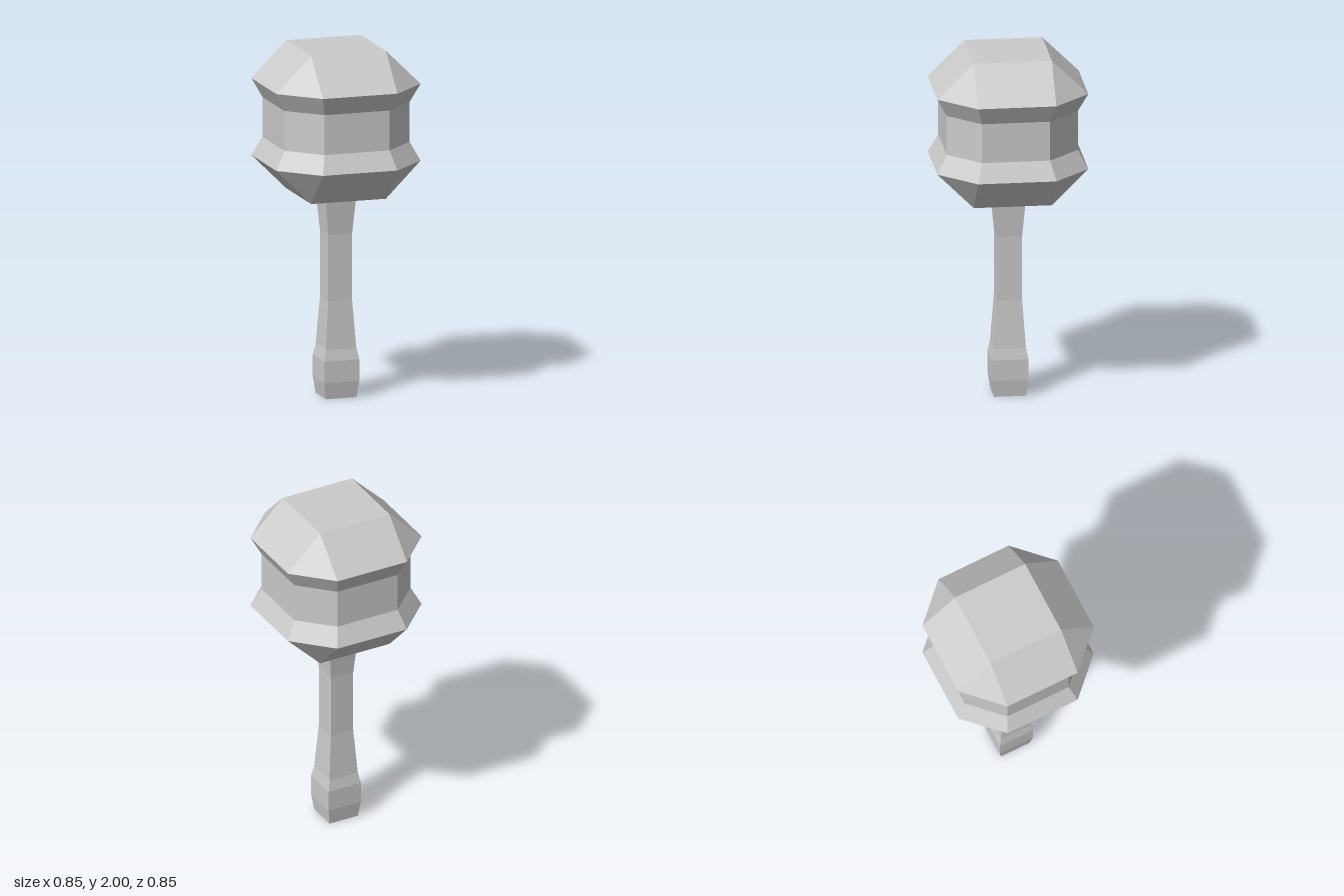
import * as THREE from 'three';

// Corners of a bevelled square, counter-clockwise seen from above.
// Half-width a, flat side half-length b (a === b gives a plain square).
function ring([y, a, b]) {
  const quarter = [[a, b], [b, a]];
  const points = [];
  for (let k = 0; k < 4; k++) {
    for (const [u, v] of quarter) {
      const [x, w] = [[u, v], [-v, u], [-u, -v], [v, -u]][k];
      points.push(new THREE.Vector3(x, y, -w));
    }
  }
  return points;
}

// Skin a stack of rings (bottom to top) and cap both ends.
function loft(name, sections, material) {
  const rings = sections.map(ring);
  const positions = [];
  const tri = (p, q, r) => {
    if (p.equals(q) || q.equals(r) || r.equals(p)) return;
    for (const v of [p, q, r]) positions.push(v.x, v.y, v.z);
  };
  for (let s = 0; s < rings.length - 1; s++) {
    const lo = rings[s], hi = rings[s + 1];
    for (let i = 0; i < 8; i++) {
      const j = (i + 1) % 8;
      tri(lo[i], lo[j], hi[j]);
      tri(lo[i], hi[j], hi[i]);
    }
  }
  const bottom = rings[0], top = rings[rings.length - 1];
  for (let i = 1; i < 7; i++) {
    tri(top[0], top[i], top[i + 1]);
    tri(bottom[0], bottom[i + 1], bottom[i]);
  }
  const geometry = new THREE.BufferGeometry();
  geometry.setAttribute('position', new THREE.Float32BufferAttribute(positions, 3));
  geometry.computeVertexNormals();
  const mesh = new THREE.Mesh(geometry, material);
  mesh.name = name;
  return mesh;
}

export function createModel() {
  const group = new THREE.Group();
  group.name = 'mallet';
  const material = new THREE.MeshStandardMaterial({ color: 0xcccccc, flatShading: true });

  // Square handle: flared pommel, narrow grip, widening under the head
  const handle = [
    [0, 0.09], [0.095, 0.103], [0.218, 0.103], [0.28, 0.09],
    [0.555, 0.071], [0.933, 0.071], [1.153, 0.09],
  ].map(([y, a]) => [y, a, a]);
  group.add(loft('handle', handle, material));

  // Faceted head: two flared bands around a recessed waist
  const head = [
    [1.153, 0.22, 0.22], [1.357, 0.425, 0.22], [1.463, 0.369, 0.192],
    [1.691, 0.369, 0.192], [1.797, 0.425, 0.22], [2, 0.22, 0.22],
  ];
  group.add(loft('head', head, material));
  return group;
}
